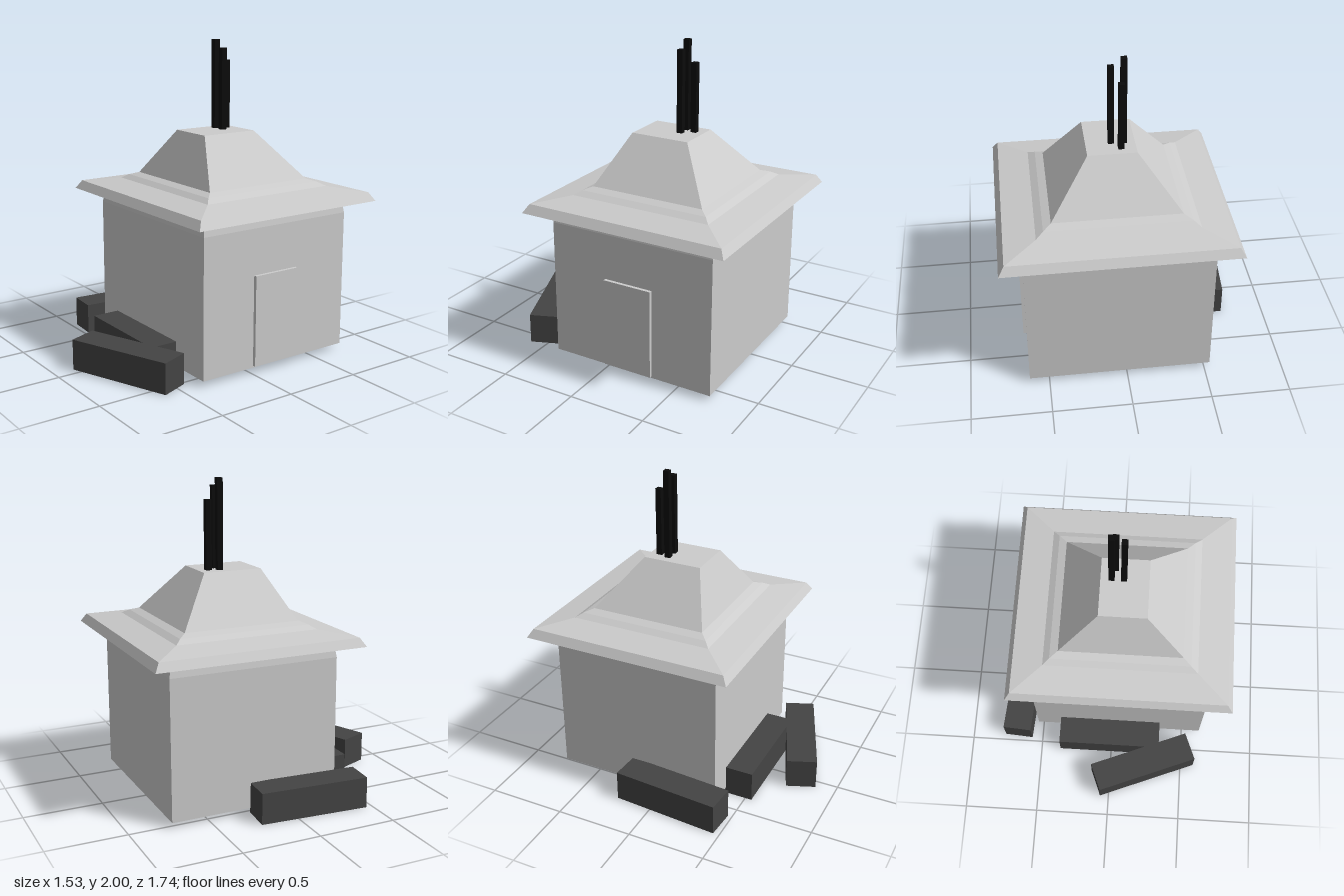
import * as THREE from 'three';

const grey = new THREE.MeshStandardMaterial({ color: 0xcccccc, flatShading: true });
const dark = new THREE.MeshStandardMaterial({ color: 0x444444, flatShading: true });
const black = new THREE.MeshStandardMaterial({ color: 0x0c0c0c, flatShading: true });

// Closed, flat-faced solid through a stack of rectangles [y, x0, x1, z0, z1]
function loftRects(rects) {
  const pos = [];
  const rings = rects.map(([y, x0, x1, z0, z1]) => [[x0, y, z1], [x1, y, z1], [x1, y, z0], [x0, y, z0]]);
  const quad = (a, b, c, d) => pos.push(...a, ...b, ...c, ...a, ...c, ...d);
  for (let i = 0; i < rings.length - 1; i++) {
    const lo = rings[i], hi = rings[i + 1];
    for (let k = 0; k < 4; k++) {
      const n = (k + 1) % 4;
      quad(lo[k], lo[n], hi[n], hi[k]);
    }
  }
  const bottom = rings[0], top = rings[rings.length - 1];
  quad(bottom[3], bottom[2], bottom[1], bottom[0]);
  quad(...top);
  const geometry = new THREE.BufferGeometry();
  geometry.setAttribute('position', new THREE.Float32BufferAttribute(pos, 3));
  geometry.computeVertexNormals();
  return geometry;
}

export function createModel() {
  const group = new THREE.Group();
  const add = (name, geometry, material, x = 0, y = 0, z = 0, turn = 0) => {
    const mesh = new THREE.Mesh(geometry, material);
    mesh.name = name;
    mesh.position.set(x, y, z);
    mesh.rotation.y = turn;
    group.add(mesh);
  };

  // Hut walls, drawn in very slightly under the eaves
  add('walls', loftRects([
    [0.035, -0.535, 0.625, -0.74, 0.362],
    [0.92, -0.535, 0.625, -0.74, 0.362],
    [0.965, -0.528, 0.618, -0.733, 0.355],
  ]), grey);

  // Hipped roof: sloping soffit, eave rim, shallow skirt, steep cap with flat top
  add('roof', loftRects([
    [0.96, -0.528, 0.618, -0.733, 0.355],
    [1.003, -0.675, 0.765, -0.875, 0.49],
    [1.057, -0.642, 0.73, -0.843, 0.457],
    [1.087, -0.447, 0.535, -0.66, 0.27],
    [1.112, -0.405, 0.49, -0.62, 0.232],
    [1.13, -0.353, 0.44, -0.57, 0.185],
    [1.43, -0.105, 0.197, -0.335, 0.05],
  ]), grey);

  // Door panel on the left wall
  add('door', new THREE.BoxGeometry(0.04, 0.58, 0.325), grey, 0.626, 0.337, -0.176);

  // Chimney rods: x, z, top height
  for (const [x, z, top] of [[-0.036, -0.203, 2], [0.041, -0.203, 1.95], [-0.014, -0.27, 1.868]]) {
    add('chimneyRod', new THREE.BoxGeometry(0.037, top - 1.4, 0.037), black, x, (top + 1.4) / 2, z);
  }

  // Beams lying around the hut: x, z, turn
  for (const [x, z, turn] of [[-0.015, 0.446, 0], [0.23, 0.649, 0.379], [-0.647, 0.117, Math.PI / 2 - 0.071]]) {
    add('beam', new THREE.BoxGeometry(0.7, 0.197, 0.193), dark, x, 0.0985, z, turn);
  }

  return group;
}
